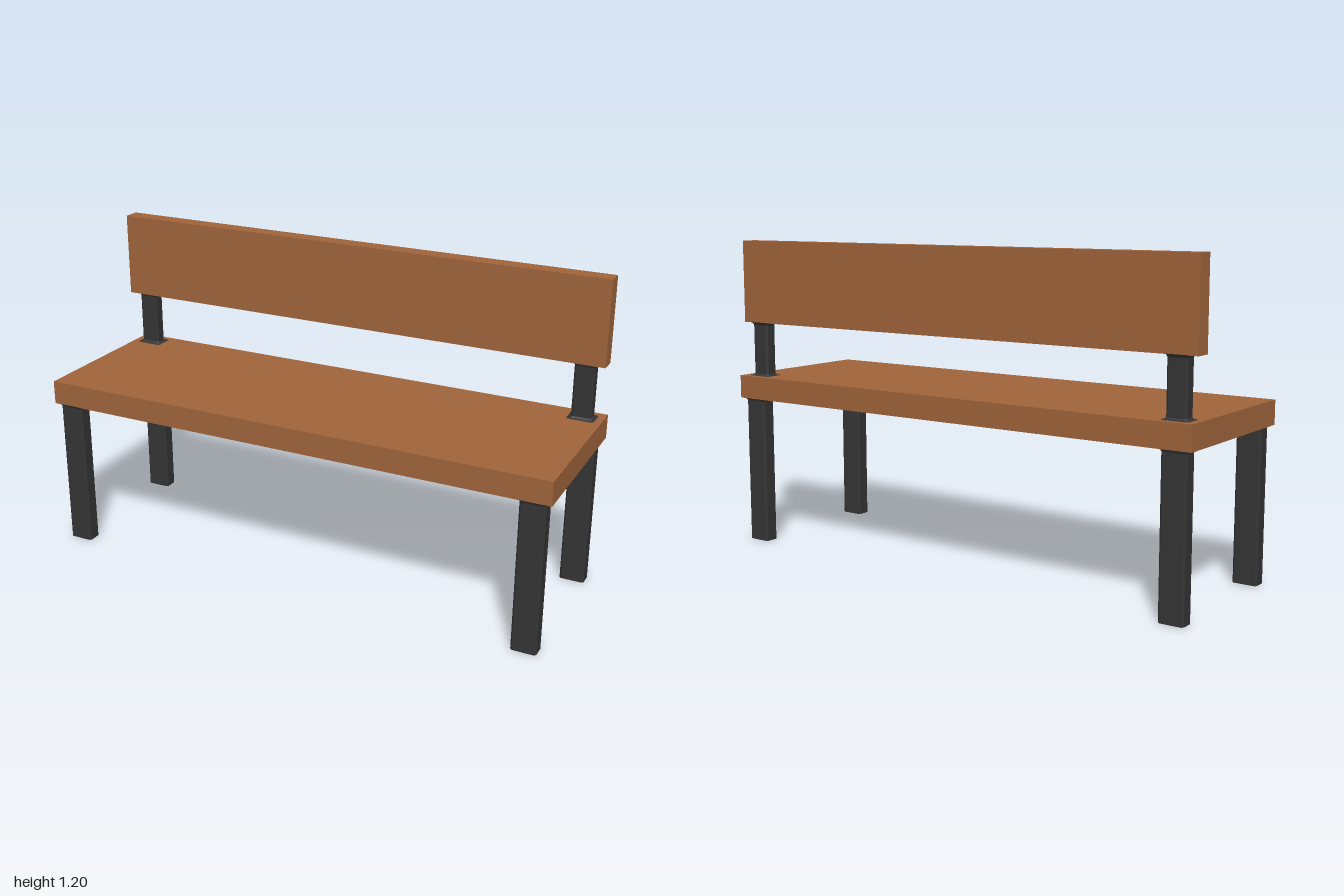
import * as THREE from 'three';

// Chamfered upright lofted through rings [y, flare], where flare widens the section
function chamferedPost(width, depth, chamfer, rings) {
  const positions = [];
  const index = [];
  for (const [y, flare] of rings) {
    const a = width / 2 + flare, b = depth / 2 + flare, c = chamfer;
    const loop = [
      [a, -b + c], [a, b - c], [a - c, b], [-a + c, b],
      [-a, b - c], [-a, -b + c], [-a + c, -b], [a - c, -b],
    ];
    for (const [x, z] of loop) positions.push(x, y, z);
  }
  const last = (rings.length - 1) * 8;
  for (let r = 0; r < last; r += 8) {
    for (let i = 0; i < 8; i++) {
      const j = (i + 1) % 8;
      index.push(r + i, r + 8 + i, r + j, r + j, r + 8 + i, r + 8 + j);
    }
  }
  // End caps
  for (let i = 1; i < 7; i++) {
    index.push(0, i, i + 1);
    index.push(last, last + i + 1, last + i);
  }
  const indexed = new THREE.BufferGeometry();
  indexed.setAttribute('position', new THREE.Float32BufferAttribute(positions, 3));
  indexed.setIndex(index);
  const geometry = indexed.toNonIndexed();
  geometry.computeVertexNormals();
  return geometry;
}

export function createModel() {
  const bench = new THREE.Group();
  bench.name = 'bench';

  const wood = new THREE.MeshStandardMaterial({ color: 0x9f643a });
  wood.name = 'brown wood';
  const metal = new THREE.MeshStandardMaterial({ color: 0x343434 });
  metal.name = 'dark metal';

  function add(name, geometry, material, x, y, z) {
    const mesh = new THREE.Mesh(geometry, material);
    mesh.name = name;
    mesh.position.set(x, y, z);
    bench.add(mesh);
  }

  // Seat and backrest planks
  add('seat', new THREE.BoxGeometry(2, 0.09, 0.638), wood, 0, 0.622, 0);
  add('backrest', new THREE.BoxGeometry(2, 0.322, 0.063), wood, 0, 1.039, -0.254);

  // Legs flare slightly under the seat; backrest posts flare at both ends
  const leg = chamferedPost(0.094, 0.058, 0.007, [[0, 0], [0.567, 0], [0.574, 0.003], [0.578, 0.01]]);
  const post = chamferedPost(0.075, 0.05, 0.007, [
    [0.666, 0.018], [0.669, 0.005], [0.675, 0], [0.868, 0], [0.875, 0.003], [0.879, 0.006],
  ]);
  for (const [side, s] of [['left', 1], ['right', -1]]) {
    add(side + 'FrontLeg', leg, metal, s * 0.932, 0, 0.282);
    add(side + 'BackLeg', leg, metal, s * 0.932, 0, -0.28);
    add(side + 'BackrestPost', post, metal, s * 0.923, 0, -0.257);
  }
  return bench;
}
